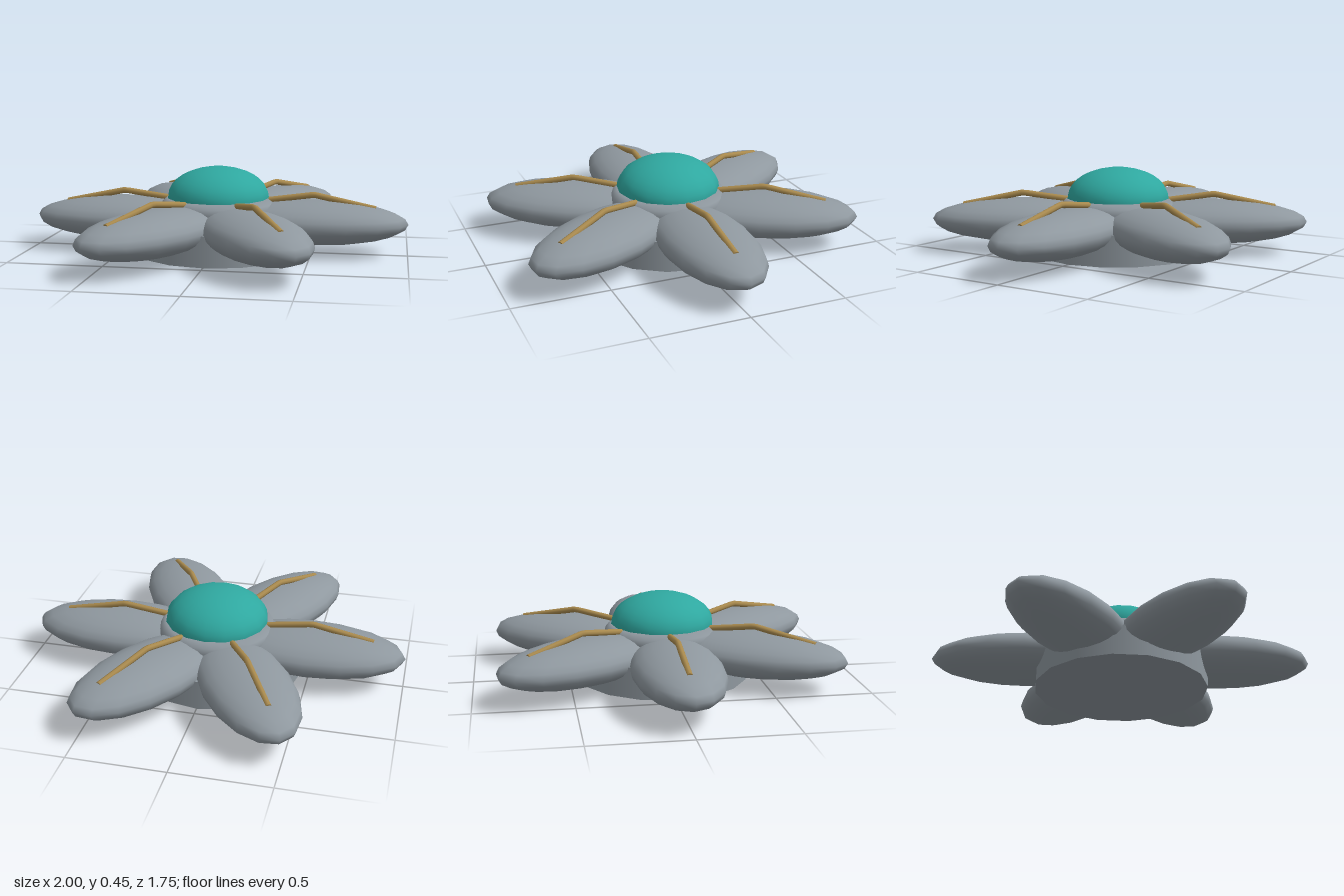
import * as THREE from 'three';

export function createModel() {
  const model = new THREE.Group();
  model.name = 'flowerSaucer';

  const mat = (name, color) => {
    const m = new THREE.MeshStandardMaterial({ color });
    m.name = name;
    return m;
  };
  const grey = mat('hullGrey', 0x8f989f);
  const teal = mat('domeTeal', 0x2fa8a0);
  const brass = mat('ribBrass', 0xa98a4e);

  const add = (parent, name, geometry, material) => {
    const mesh = new THREE.Mesh(geometry, material);
    mesh.name = name;
    parent.add(mesh);
    return mesh;
  };

  // Drum-shaped base
  add(model, 'base', new THREE.CylinderGeometry(0.455, 0.455, 0.16, 16).translate(0, 0.08, 0), grey);

  // Rounded collar carrying the dome
  const collar = [[0.31, 0.14], [0.31, 0.235], [0.3, 0.262], [0.27, 0.287], [0, 0.287]];
  add(model, 'collar', new THREE.LatheGeometry(collar.map(p => new THREE.Vector2(...p)), 32), grey);

  // Flattened hemispherical dome
  const dome = new THREE.SphereGeometry(1, 16, 8, 0, Math.PI * 2, 0, Math.PI / 2);
  add(model, 'dome', dome.scale(0.272, 0.162, 0.272).translate(0, 0.287, 0), teal);

  // Six ellipsoid petals, each with a bent rib along its top
  const petalGeo = new THREE.SphereGeometry(1, 16, 12).scale(0.5, 0.115, 0.23).translate(0.5, 0.165, 0);
  const ribPath = new THREE.CurvePath();
  const ribPoints = [[0.25, 0.274], [0.51, 0.31], [0.83, 0.243]].map(p => new THREE.Vector3(...p, 0));
  ribPath.add(new THREE.LineCurve3(ribPoints[0], ribPoints[1]));
  ribPath.add(new THREE.LineCurve3(ribPoints[1], ribPoints[2]));
  const ribGeo = new THREE.TubeGeometry(ribPath, 24, 0.016, 8, false);
  const capGeo = new THREE.CircleGeometry(0.016, 8).rotateY(Math.PI / 2).rotateZ(-0.206).translate(0.83, 0.243, 0);

  for (let i = 0; i < 6; i++) {
    const arm = new THREE.Group();
    arm.name = `petalArm${i + 1}`;
    arm.rotation.y = i * Math.PI / 3;
    add(arm, 'petal', petalGeo, grey);
    add(arm, 'rib', ribGeo, brass);
    add(arm, 'ribEnd', capGeo, brass);
    model.add(arm);
  }
  return model;
}
